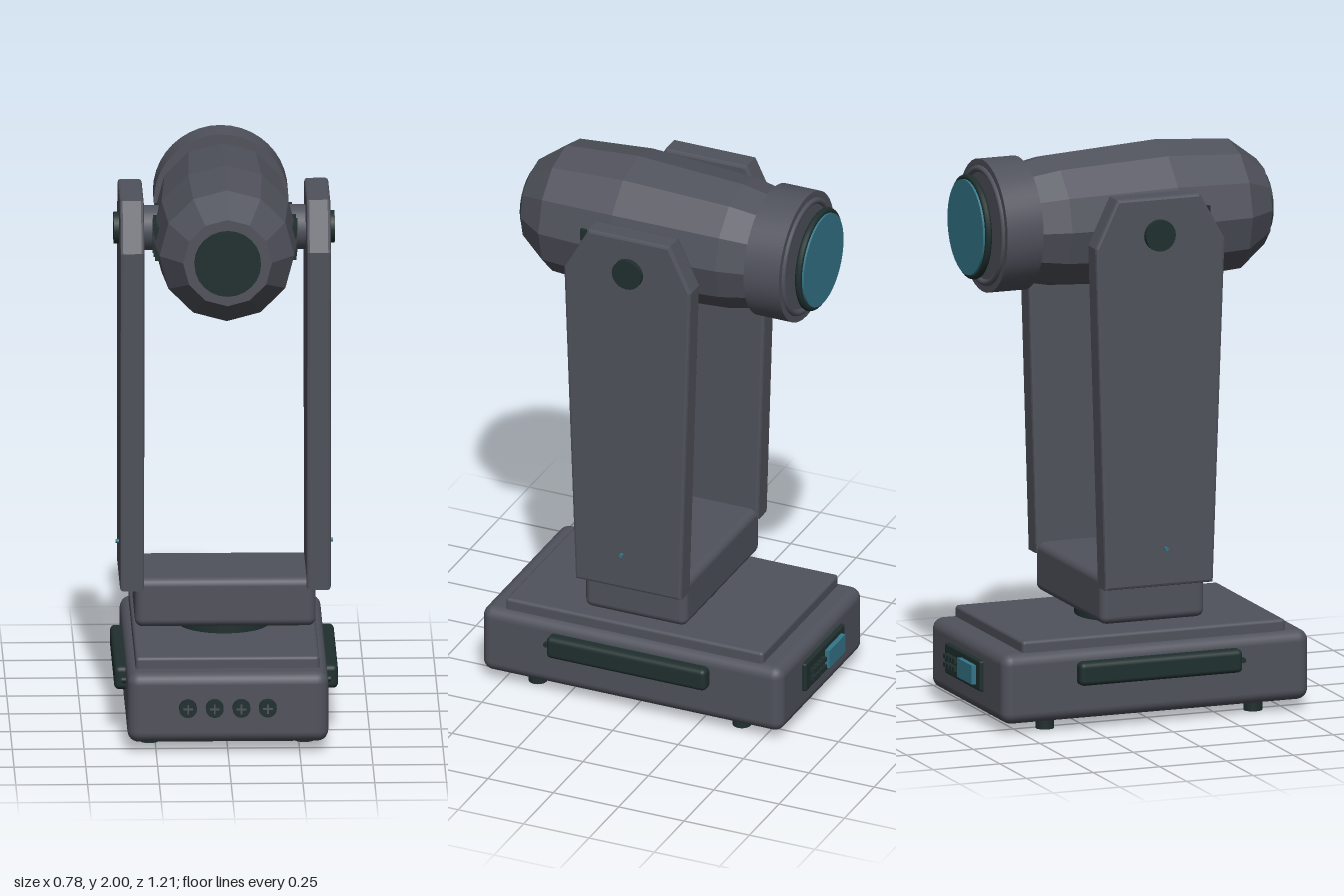
import * as THREE from 'three';
import { RoundedBoxGeometry } from 'three/addons/geometries/RoundedBoxGeometry.js';
import { toCreasedNormals } from 'three/addons/utils/BufferGeometryUtils.js';

const body = new THREE.MeshStandardMaterial({ color: 0x50525c });
const dark = new THREE.MeshStandardMaterial({ color: 0x20302f });
const teal = new THREE.MeshStandardMaterial({ color: 0x34768a });

const HEAD_Y = 1.745;

export function createModel() {
  const model = new THREE.Group();
  model.name = 'movingHeadLight';

  const add = (name, geometry, material, x = 0, y = 0, z = 0, parent = model) => {
    const mesh = new THREE.Mesh(geometry, material);
    mesh.name = name;
    mesh.position.set(x, y, z);
    parent.add(mesh);
    return mesh;
  };
  const rounded = (w, h, d, r) => new RoundedBoxGeometry(w, h, d, 3, r);
  const cylX = (r, len, n = 24) => new THREE.CylinderGeometry(r, r, len, n).rotateZ(Math.PI / 2);
  const cylZ = (r, len, n = 24) => new THREE.CylinderGeometry(r, r, len, n).rotateX(Math.PI / 2);
  // Lathe around z from [radius, z] pairs, back to front
  const latheZ = (pts, sides, crease) => toCreasedNormals(
    new THREE.LatheGeometry(pts.map(p => new THREE.Vector2(...p)), sides).rotateX(Math.PI / 2), crease);

  // Base
  add('base', rounded(0.7, 0.25, 1.15, 0.04), body, 0, 0.16, 0);
  add('baseTopPlate', rounded(0.64, 0.08, 0.985, 0.012), body, 0, 0.285, 0);
  for (const x of [-0.27, 0.27]) {
    for (const z of [-0.39, 0.39]) {
      add('foot', new THREE.CylinderGeometry(0.033, 0.033, 0.05, 16), dark, x, 0.025, z);
    }
  }

  // Front connectors with a raised cross
  for (const x of [-0.14, -0.047, 0.046, 0.138]) {
    add('connector', cylZ(0.031, 0.04), dark, x, 0.165, 0.58);
    add('connectorCrossBar', new THREE.BoxGeometry(0.034, 0.006, 0.008), body, x, 0.165, 0.601);
    add('connectorCrossPost', new THREE.BoxGeometry(0.006, 0.034, 0.008), body, x, 0.165, 0.601);
  }

  // Rear control panel
  add('controlPanel', rounded(0.33, 0.11, 0.03, 0.008), dark, 0.005, 0.175, -0.575);
  add('display', new THREE.BoxGeometry(0.136, 0.068, 0.02), teal, -0.057, 0.175, -0.597);
  for (let i = 0; i < 4; i++) {
    for (const y of [0.16, 0.19]) {
      add('button', new THREE.BoxGeometry(0.018, 0.016, 0.02), dark, 0.044 + i * 0.028, y, -0.598);
    }
  }

  // Turntable and yoke bridge
  add('turntable', new THREE.CylinderGeometry(0.16, 0.16, 0.06, 32), dark, 0, 0.345, 0);
  add('yokeBridge', rounded(0.63, 0.175, 0.39, 0.028), body, 0, 0.443, 0);

  // Tapered yoke arm, outlined in the z-y plane and thickened along x
  const bevel = 0.01;
  const outline = new THREE.Shape([
    [-0.19, 0.5], [0.195, 0.5], [0.239, 1.71], [0.149, 1.87], [-0.149, 1.87], [-0.226, 1.71],
  ].map(p => new THREE.Vector2(...p)));
  const armGeometry = new THREE.ExtrudeGeometry(outline, {
    depth: 0.064, bevelEnabled: true, bevelSize: bevel, bevelThickness: bevel, bevelSegments: 2,
  });
  armGeometry.translate(0, 0, -0.032).rotateY(-Math.PI / 2);

  for (const s of [-1, 1]) {
    const side = s > 0 ? 'left' : 'right';
    add(side + 'Arm', armGeometry, body, s * 0.325, 0, 0);
    add(side + 'PivotCap', cylX(0.056, 0.04), dark, s * 0.365, HEAD_Y, 0);
    add(side + 'PivotHub', cylX(0.078, 0.1), body, s * 0.245, HEAD_Y, 0);
    add(side + 'ArmScrew', cylX(0.007, 0.02, 10), teal, s * 0.369, 0.625, 0.025);
    add(side + 'SideHandle', rounded(0.06, 0.083, 0.61, 0.018), dark, s * 0.36, 0.203, 0.003);
    add(side + 'HandlePin', cylX(0.01, 0.03, 10), dark, s * 0.35, 0.2, 0.318);
  }

  // Faceted head
  const head = new THREE.Group();
  head.name = 'head';
  head.position.y = HEAD_Y;
  model.add(head);
  add('headShell', latheZ([
    [0, -0.4], [0.206, -0.4], [0.232, -0.27], [0.255, 0.13], [0.235, 0.405], [0.155, 0.51], [0, 0.51],
  ], 12, 0.01), body, 0, 0, 0, head);
  add('headEndCap', cylZ(0.116, 0.04), dark, 0, 0, 0.51, head);

  // Vent slots in two rows on both sides of the head
  for (const s of [-1, 1]) {
    for (let i = 0; i < 7; i++) {
      const z = -0.1 + i * 0.055;
      const r = z < 0.13 ? 0.255 - (0.13 - z) * 0.0575 : 0.255 - (z - 0.13) * 0.073;
      for (const y of [-0.038, 0.038]) {
        add('ventSlot', new THREE.BoxGeometry(0.02, 0.042, 0.022), dark, s * (r - 0.012), y, z, head);
      }
    }
  }

  // Rear collar, lens rim and lens
  add('collar', latheZ([
    [0, -0.515], [0.235, -0.515], [0.235, -0.38], [0, -0.38],
  ], 40, 0.6), body, 0, 0, 0, head);
  add('collarRing', new THREE.TorusGeometry(0.2, 0.012, 10, 40), body, 0, 0, -0.514, head);
  add('lensRim', new THREE.TorusGeometry(0.173, 0.012, 10, 40), dark, 0, 0, -0.562, head);
  add('lens', cylZ(0.168, 0.026, 40), teal, 0, 0, -0.567, head);

  return model;
}
